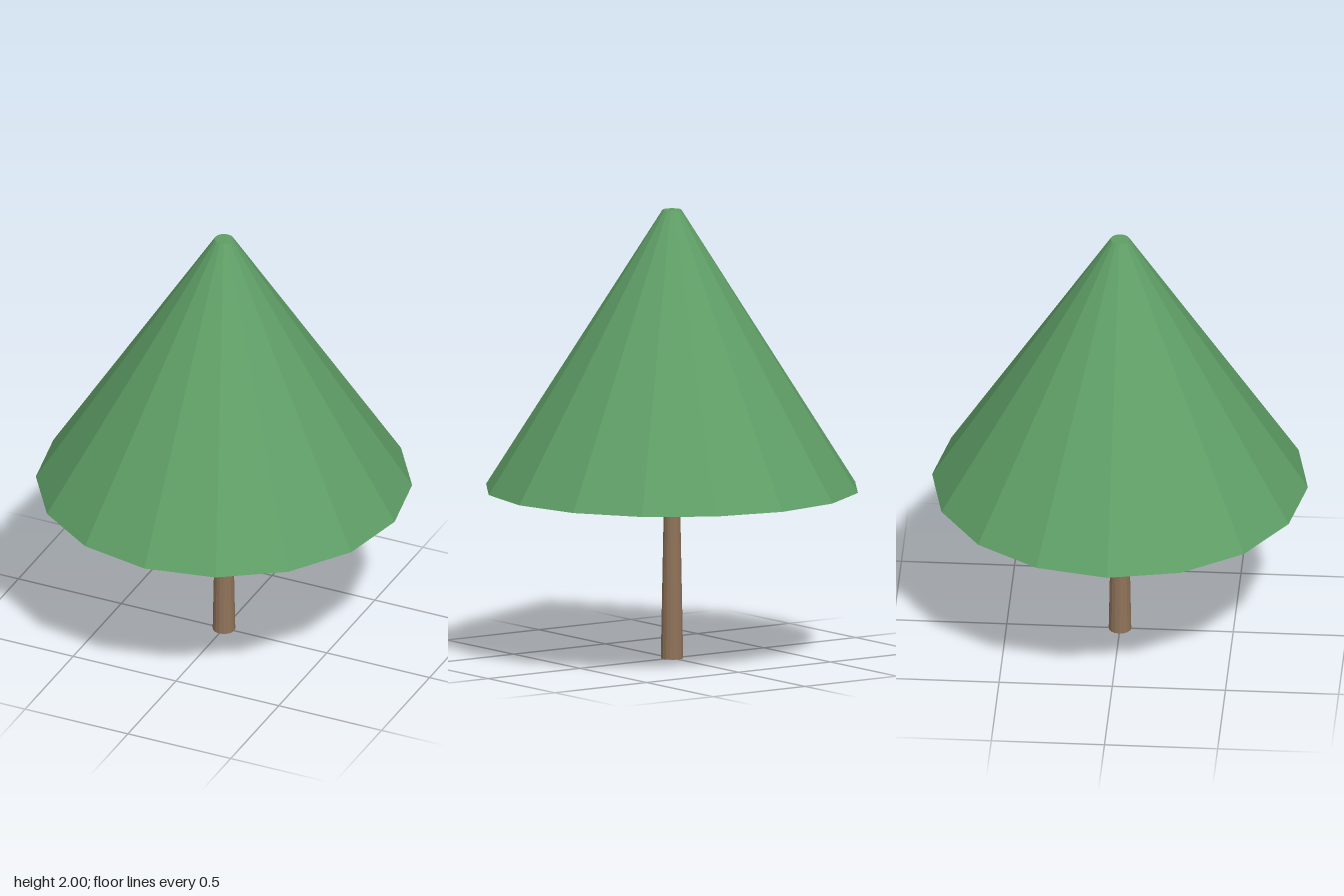
import * as THREE from 'three';

const SIDES = 16;

export function createModel() {
  const tree = new THREE.Group();
  tree.name = 'tree';

  const leafGreen = new THREE.MeshStandardMaterial({ color: 0x5f9e66, flatShading: true });
  leafGreen.name = 'leaf green';
  const barkBrown = new THREE.MeshStandardMaterial({ color: 0x8f735a, flatShading: true });
  barkBrown.name = 'bark brown';

  // Capped, tapered prism standing between two heights
  function taper(name, topRadius, bottomRadius, y0, y1, material) {
    const geometry = new THREE.CylinderGeometry(topRadius, bottomRadius, y1 - y0, SIDES);
    const mesh = new THREE.Mesh(geometry, material);
    mesh.name = name;
    mesh.position.y = (y0 + y1) / 2;
    tree.add(mesh);
  }

  // Slim trunk, its top just inside the foliage
  taper('trunk', 0.035, 0.05, 0, 0.77, barkBrown);
  // Wide cone of foliage with a small flat tip
  taper('foliage', 0.042, 0.83, 0.757, 2, leafGreen);

  return tree;
}
